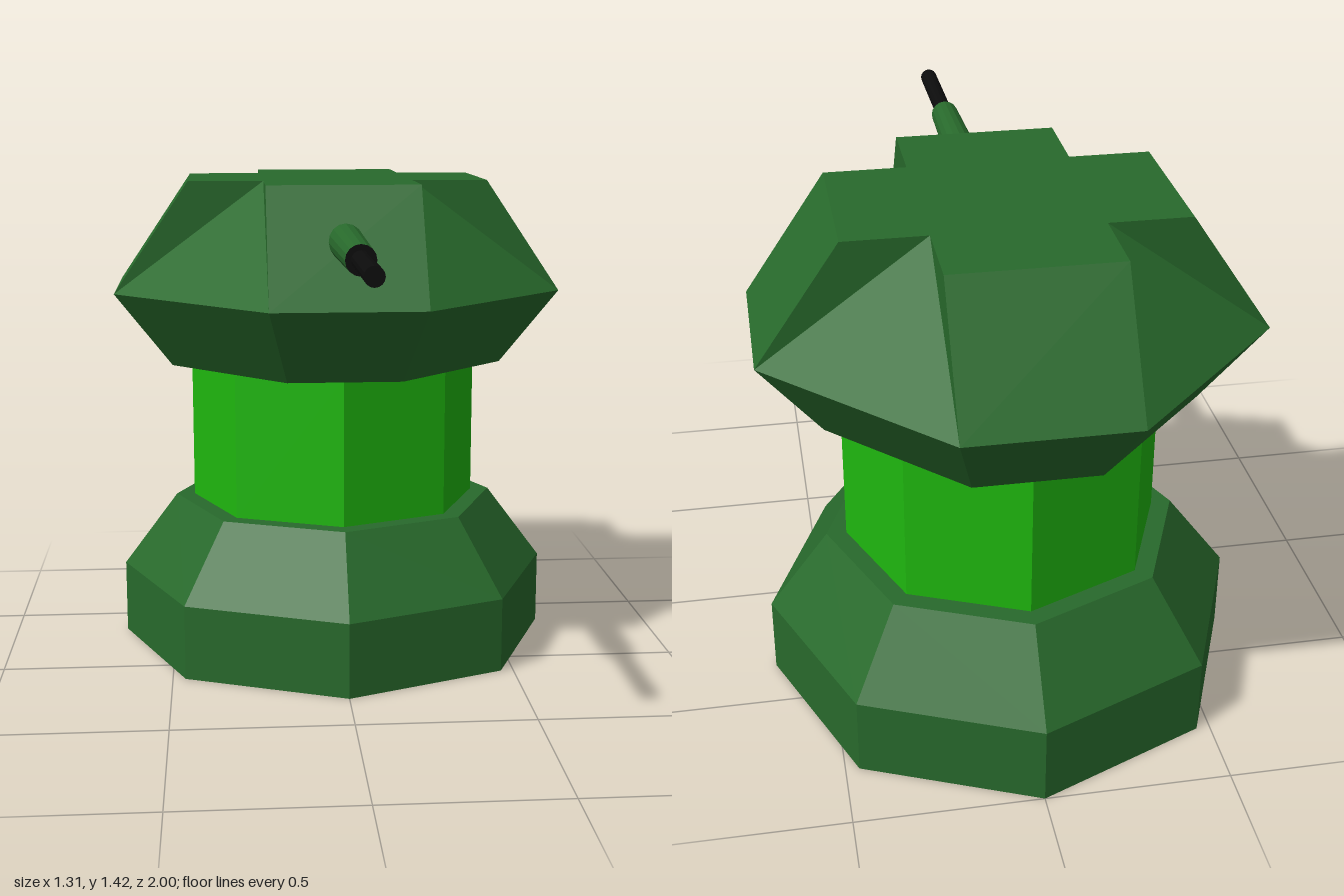
import * as THREE from 'three';

const mat = (color) => new THREE.MeshStandardMaterial({ color, flatShading: true });

// Faceted head: one quarter is described, then turned four times about y
function headGeometry() {
  const w = 0.217, arm = 0.435, reach = 0.655, top = 1.42, mid = 1.095, low = 0.875;
  const lw = 0.163, lr = 0.49;
  const A = [w, top, arm], Al = [-w, top, arm], A2 = [arm, top, w];
  const B = [w, mid, reach], Bl = [-w, mid, reach], B2 = [reach, mid, w];
  const I = [w, top, w], Il = [-w, top, w];
  const L = [lw, low, lr], Ll = [-lw, low, lr], L2 = [lr, low, lw];
  const faces = [
    [Bl, B, A, Al], // sloping end of an arm
    [B, I, A], [I, B2, A2], // notch walls
    [B, B2, I], // corner slope
    [Ll, L, B, Bl], [L, L2, B2, B], // underside slopes
    [Al, A, I, Il], [Il, I, [0, top, 0]], // cross-shaped top
    [[0, low, 0], L, Ll], [[0, low, 0], L2, L], // bottom
  ];
  const pos = [];
  for (let k = 0; k < 4; k++) {
    const c = Math.round(Math.cos(k * Math.PI / 2)), s = Math.round(Math.sin(k * Math.PI / 2));
    for (const f of faces)
      for (let i = 1; i < f.length - 1; i++)
        for (const [x, y, z] of [f[0], f[i], f[i + 1]]) pos.push(c * x + s * z, y, c * z - s * x);
  }
  const g = new THREE.BufferGeometry();
  g.setAttribute('position', new THREE.Float32BufferAttribute(pos, 3));
  g.computeVertexNormals();
  return g;
}

export function createModel() {
  const model = new THREE.Group();
  const darkGreen = mat(0x286a2c), brightGreen = mat(0x1fb80f), black = mat(0x0c0c0c);
  const centreZ = -0.345;

  const add = (name, geometry, material, x, y, z) => {
    const mesh = new THREE.Mesh(geometry, material);
    mesh.name = name;
    mesh.position.set(x, y, z);
    model.add(mesh);
    return mesh;
  };

  // Eight-sided base with a bevelled shoulder
  const profile = [[0, 0], [0.655, 0], [0.655, 0.22], [0.49, 0.44], [0, 0.44]];
  add('base', new THREE.LatheGeometry(profile.map(([r, y]) => new THREE.Vector2(r, y)), 8),
    darkGreen, 0, 0, centreZ);

  // Bright neck
  add('neck', new THREE.CylinderGeometry(0.435, 0.435, 0.435, 8), brightGreen, 0, 0.6575, centreZ);

  // Head
  add('head', headGeometry(), darkGreen, 0, 0, centreZ);

  // Barrel: tapered sleeve with a dark front face, and a thin muzzle
  const sleeve = new THREE.CylinderGeometry(0.04, 0.051, 0.55, 16).rotateX(Math.PI / 2);
  add('barrelSleeve', sleeve, [darkGreen, black, darkGreen], 0, 1.27, 0.375);
  const muzzle = new THREE.CylinderGeometry(0.025, 0.025, 0.36, 16).rotateX(Math.PI / 2);
  add('muzzle', muzzle, black, 0, 1.27, 0.82);

  return model;
}
